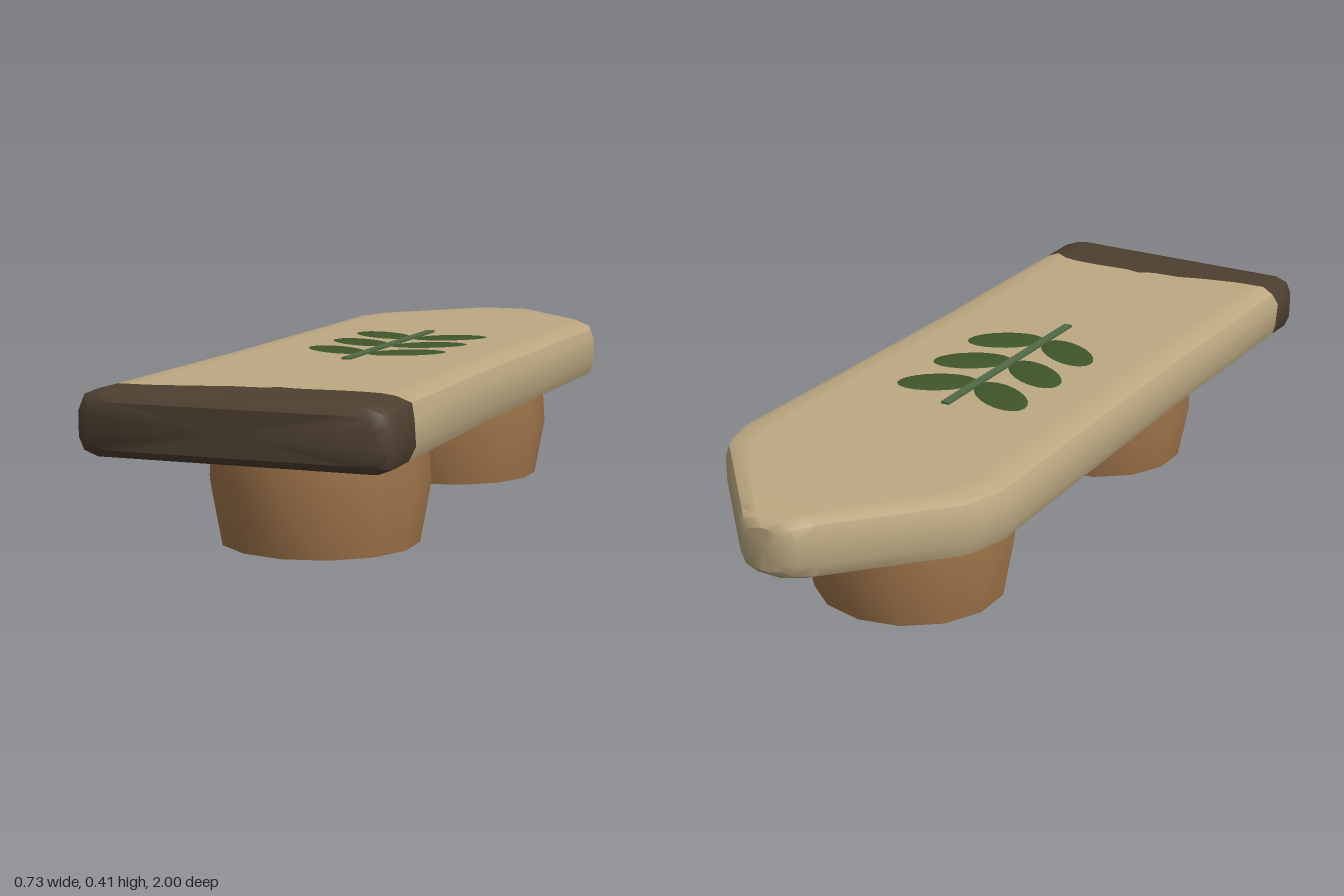
import * as THREE from 'three';
import { toCreasedNormals } from 'three/addons/utils/BufferGeometryUtils.js';

const mat = (name, color, side = THREE.FrontSide) => {
  const m = new THREE.MeshStandardMaterial({ color, side });
  m.name = name;
  return m;
};

// Chamfered right edge of the plank: inset from the side, height from mid-plane
const EDGE = [[0.045, 0.073], [0.012, 0.06], [0, 0.03], [0, -0.03], [0.012, -0.06], [0.045, -0.073]];
const MID_Y = 0.327;
const ACROSS = 16;

// Ragged line where the dark end meets the pale wood
const SEAM = [[-0.36, 0.87], [-0.24, 0.865], [-0.14, 0.845], [-0.08, 0.825], [0, 0.82],
  [0.03, 0.8], [0.08, 0.81], [0.18, 0.803], [0.27, 0.805], [0.29, 0.83], [0.36, 0.85]];
function seamZ(x, y) {
  let i = 0;
  while (i < SEAM.length - 2 && x > SEAM[i + 1][0]) i++;
  const [x0, z0] = SEAM[i], [x1, z1] = SEAM[i + 1];
  const t = THREE.MathUtils.clamp((x - x0) / (x1 - x0), 0, 1);
  return z0 + (z1 - z0) * t + 0.012 * Math.sin(y * 90);
}

// One cross-section, clockwise as seen from the front
function ring({ z, w, k = 1 }) {
  const pts = [];
  const flat = w - EDGE[0][0], h = EDGE[0][1];
  for (let i = 1; i < ACROSS; i++) pts.push([flat * (2 * i / ACROSS - 1), h]);
  EDGE.forEach(([inset, y]) => pts.push([w - inset, y]));
  for (let i = 1; i < ACROSS; i++) pts.push([flat * (1 - 2 * i / ACROSS), -h]);
  [...EDGE].reverse().forEach(([inset, y]) => pts.push([inset - w, y]));
  return pts.map(([x, y]) => [x, MID_Y + y * k, z === 'seam' ? seamZ(x, y) : z]);
}

// Skin over cross-sections running from back to front, closing any true end
function loft(stations) {
  const rings = stations.map(ring), n = rings[0].length;
  const pos = rings.flat(2), idx = [];
  for (let s = 0; s < rings.length - 1; s++) {
    for (let i = 0; i < n; i++) {
      const a = s * n + i, b = s * n + (i + 1) % n;
      idx.push(a, a + n, b + n, a, b + n, b);
    }
  }
  [0, rings.length - 1].forEach((s) => {
    if (stations[s].z === 'seam') return;
    const c = pos.length / 3;
    pos.push(0, MID_Y, stations[s].z);
    for (let i = 0; i < n; i++) {
      const a = s * n + i, b = s * n + (i + 1) % n;
      if (s === 0) idx.push(c, a, b);
      else idx.push(c, b, a);
    }
  });
  const g = new THREE.BufferGeometry();
  g.setAttribute('position', new THREE.Float32BufferAttribute(pos, 3));
  g.setIndex(idx);
  return toCreasedNormals(g, 0.7);
}

export function createModel() {
  const model = new THREE.Group();
  const add = (name, geometry, material, parent = model) => {
    const mesh = new THREE.Mesh(geometry, material);
    mesh.name = name;
    parent.add(mesh);
    return mesh;
  };
  const paleWood = mat('paleWood', 0xbda982);
  const darkEnd = mat('darkEnd', 0x4e3f30);
  const legWood = mat('legWood', 0xa0754b);
  const leafGreen = mat('leafGreen', 0x40552a);
  const stemGreen = mat('stemGreen', 0x526a45);

  // Plank: pointed at the back, square and dark at the front
  add('plank', loft([
    { z: -1, w: 0.052, k: 0.7 }, { z: -0.985, w: 0.075, k: 0.9 }, { z: -0.95, w: 0.107 },
    { z: -0.71, w: 0.325 }, { z: -0.68, w: 0.34 }, { z: -0.6, w: 0.362 }, { z: -0.2, w: 0.357 },
    { z: 0.3, w: 0.352 }, { z: 0.6, w: 0.357 }, { z: 'seam', w: 0.36 },
  ]), paleWood);
  add('plankDarkEnd', loft([
    { z: 'seam', w: 0.36 }, { z: 0.955, w: 0.363 }, { z: 0.985, w: 0.35, k: 0.93 },
    { z: 1, w: 0.325, k: 0.7 },
  ]), darkEnd);

  // Two stout round legs, slightly bulged and narrower at the foot
  const legProfile = [[0, 0], [0.234, 0.002], [0.26, 0.145], [0.253, 0.246], [0, 0.246]]
    .map(([r, y]) => new THREE.Vector2(r, y));
  const legGeometry = toCreasedNormals(new THREE.LatheGeometry(legProfile, 14), 0.8);
  [['frontLeg', 0.495], ['backLeg', -0.445]].forEach(([name, z]) => {
    const leg = add(name, legGeometry, legWood);
    leg.position.z = z;
    leg.scale.z = 0.955;
  });

  // Sprig on top: a thin stem with three pairs of leaves
  const sprig = new THREE.Group();
  sprig.name = 'sprig';
  model.add(sprig);
  add('stem', new THREE.BoxGeometry(0.022, 0.009, 0.61), stemGreen, sprig).position.set(0, 0.401, 0.023);
  const leafGeometry = new THREE.SphereGeometry(1, 20, 12);
  [-0.173, -0.008, 0.157].forEach((z) => {
    [-1, 1].forEach((side) => {
      const leaf = add(side > 0 ? 'leftLeaf' : 'rightLeaf', leafGeometry, leafGreen, sprig);
      leaf.position.set(side * 0.09, 0.398, z);
      leaf.scale.set(0.103, 0.007, 0.057);
      leaf.rotation.y = side * 0.58;
    });
  });
  return model;
}
